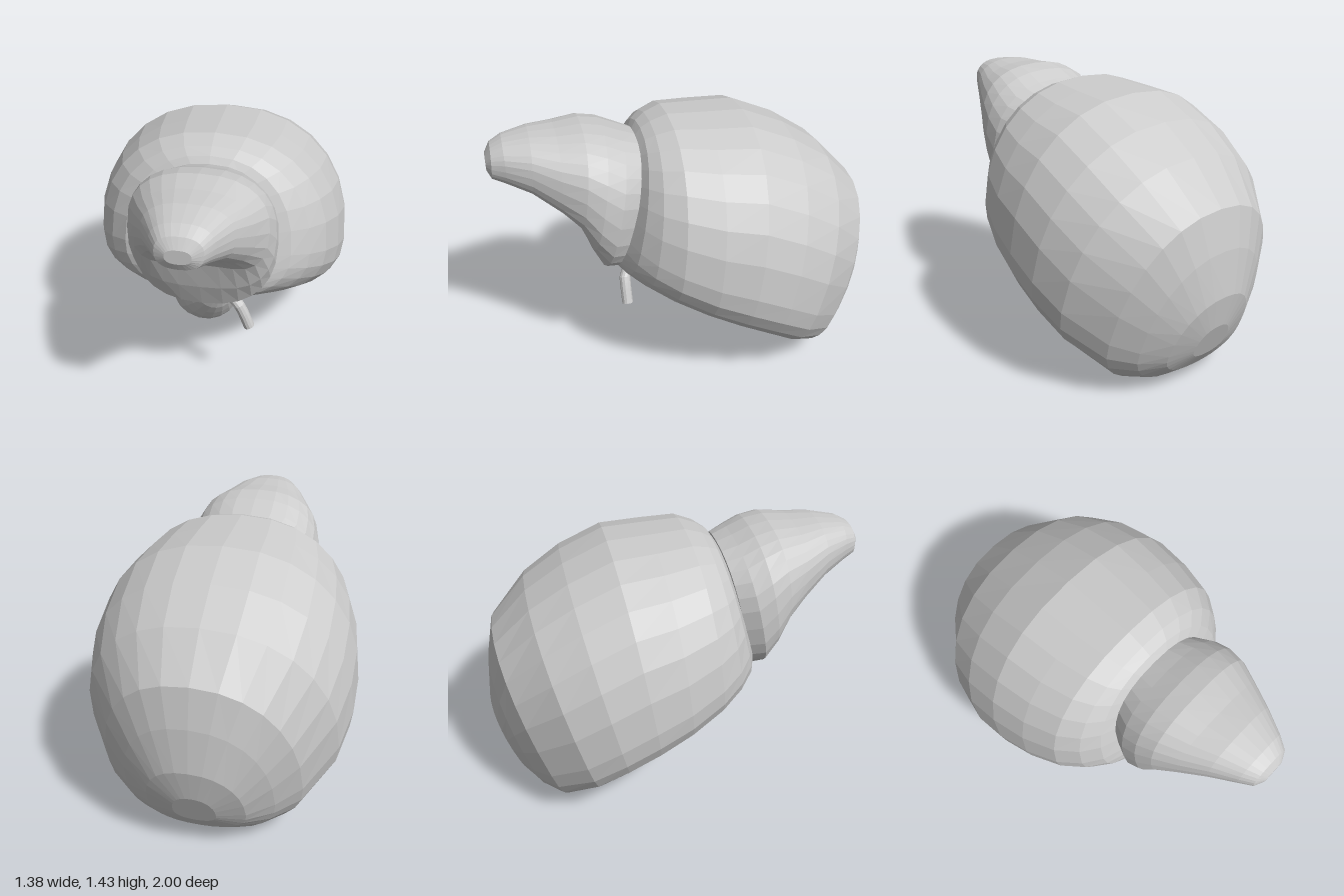
import * as THREE from 'three';

const material = new THREE.MeshStandardMaterial({ color: 0xcccccc, flatShading: true, side: THREE.DoubleSide });

// Skin tilted rings, listed front to back as
// [topZ, topY, bottomZ, bottomY, halfWidth, dip of the underside].
// mid is the height fraction of the widest point, power < 1 makes rings fuller.
function loft(name, rings, mid, power, sides = 28) {
  const pos = [], index = [];
  const full = v => Math.sign(v) * Math.abs(v) ** power;
  const addCentre = ([tz, ty, bz, by]) => pos.push(0, (ty + by) / 2, (tz + bz) / 2);

  for (const [tz, ty, bz, by, w, dip = 0] of rings) {
    for (let j = 0; j < sides; j++) {
      const a = (j / sides) * Math.PI * 2;
      const c = full(Math.cos(a));
      let t = mid + c * (c > 0 ? 1 - mid : mid);
      if (c < 0) t += dip * Math.abs(Math.cos(a)) ** 5;
      pos.push(w * full(Math.sin(a)), by + (ty - by) * t, bz + (tz - bz) * t);
    }
  }
  addCentre(rings[0]);
  addCentre(rings[rings.length - 1]);
  const first = rings.length * sides, lastRow = (rings.length - 1) * sides;
  for (let j = 0; j < sides; j++) {
    const k = (j + 1) % sides;
    for (let i = 0; i < rings.length - 1; i++) {
      const p = i * sides, q = p + sides;
      index.push(p + j, p + k, q + j, p + k, q + k, q + j);
    }
    index.push(first, k, j, first + 1, lastRow + j, lastRow + k);
  }
  const geo = new THREE.BufferGeometry();
  geo.setAttribute('position', new THREE.Float32BufferAttribute(pos, 3));
  geo.setIndex(index);
  geo.computeVertexNormals();
  const mesh = new THREE.Mesh(geo, material);
  mesh.name = name;
  return mesh;
}

export function createModel() {
  const model = new THREE.Group();
  model.name = 'model';

  // Large rounded body, sloping down to the back
  model.add(loft('body', [
    [0.25, 1.33, 0.42, 0.66, 0.32],
    [0.22, 1.37, 0.38, 0.635, 0.43],
    [0.17, 1.40, 0.30, 0.575, 0.52, 0.02],
    [0.08, 1.43, 0.18, 0.495, 0.60, 0.05],
    [-0.10, 1.42, 0.01, 0.39, 0.66, 0.07],
    [-0.32, 1.41, -0.15, 0.295, 0.69, 0.07],
    [-0.55, 1.31, -0.30, 0.215, 0.69, 0.05],
    [-0.75, 1.18, -0.45, 0.115, 0.645, 0.02],
    [-0.94, 0.98, -0.62, 0.00, 0.50],
    [-0.98, 0.78, -0.73, 0.03, 0.38],
    [-1.00, 0.55, -0.82, 0.10, 0.25],
    [-0.97, 0.38, -0.89, 0.19, 0.11],
  ], 0.36, 0.88));

  // Tapered snout with a hollowed underside, tip to neck
  model.add(loft('snout', [
    [1.00, 1.32, 1.00, 1.25, 0.06],
    [0.97, 1.37, 0.98, 1.21, 0.11],
    [0.91, 1.40, 0.91, 1.18, 0.15],
    [0.78, 1.42, 0.80, 1.12, 0.215, 0.07],
    [0.65, 1.42, 0.67, 1.00, 0.285, 0.15],
    [0.52, 1.43, 0.59, 0.90, 0.34, 0.13],
    [0.42, 1.41, 0.54, 0.77, 0.367, 0.05],
    [0.33, 1.37, 0.48, 0.665, 0.37],
    [0.25, 1.34, 0.40, 0.64, 0.33],
  ], 0.5, 0.82));

  // Egg-shaped sac under the body, its narrow end pointing forward and up
  const sacProfile = [
    [0, -0.2], [0.07, -0.19], [0.13, -0.155], [0.175, -0.095], [0.2, -0.01], [0.198, 0.07],
    [0.18, 0.15], [0.15, 0.22], [0.115, 0.29], [0.075, 0.345], [0.04, 0.38], [0, 0.39],
  ].map(([r, y]) => new THREE.Vector2(r, y));
  const sac = new THREE.Mesh(new THREE.LatheGeometry(sacProfile, 20), material);
  sac.name = 'sac';
  sac.position.set(-0.098, 0.31, -0.165);
  sac.quaternion.setFromUnitVectors(
    new THREE.Vector3(0, 1, 0), new THREE.Vector3(0.13, 0.2, 0.3).normalize());
  model.add(sac);

  // Bent duct leaving the sac
  const points = [
    [0.04, 0.475, 0.13], [0.09, 0.54, 0.235], [0.135, 0.6, 0.325],
    [0.165, 0.6, 0.36], [0.19, 0.56, 0.365], [0.232, 0.455, 0.365],
  ].map(p => new THREE.Vector3(...p));
  const path = new THREE.CatmullRomCurve3(points);
  const duct = new THREE.Mesh(new THREE.TubeGeometry(path, 16, 0.029, 12), material);
  duct.name = 'duct';
  model.add(duct);

  // Closed ends of the duct
  for (const t of [0, 1]) {
    const cap = new THREE.Mesh(new THREE.CircleGeometry(0.029, 12), material);
    cap.name = 'ductEnd';
    cap.position.copy(path.getPoint(t));
    cap.quaternion.setFromUnitVectors(
      new THREE.Vector3(0, 0, 1), path.getTangent(t).multiplyScalar(t ? 1 : -1));
    model.add(cap);
  }
  return model;
}
